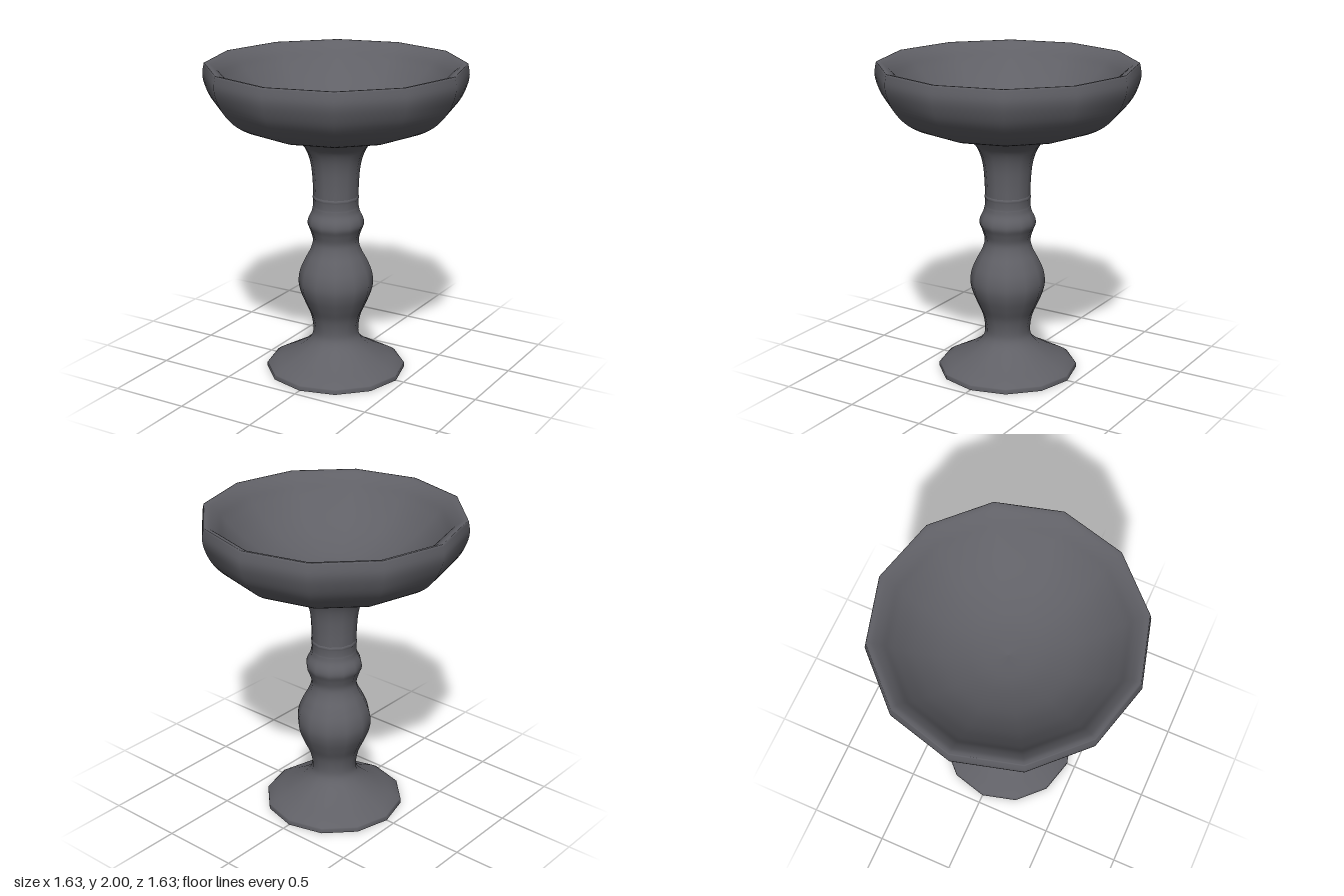
import * as THREE from 'three';

const SIDES = 12;
const material = new THREE.MeshStandardMaterial({ color: 0x606066, side: THREE.DoubleSide });

const toPoints = (pairs) => pairs.map(([r, y]) => new THREE.Vector2(r, y));

// Rounds a profile by running a spline through its points
function smooth(pairs, divisions) {
  const points = new THREE.SplineCurve(toPoints(pairs)).getPoints(divisions);
  points.forEach((p) => { p.x = Math.max(p.x, 0); });
  return points;
}

export function createModel() {
  const model = new THREE.Group();
  model.name = 'pedestalBowl';

  // Each part is a twelve-sided turning with smooth normals
  function turn(name, points) {
    const mesh = new THREE.Mesh(new THREE.LatheGeometry(points, SIDES), material);
    mesh.name = name;
    model.add(mesh);
  }

  turn('footUnderside', toPoints([[0, 0], [0.445, 0]]));

  // Thin foot edge, flared foot, bulb and small bead
  turn('footAndBaluster', [new THREE.Vector2(0.445, 0), ...smooth([
    [0.445, 0.025], [0.40, 0.055], [0.30, 0.105], [0.205, 0.165], [0.155, 0.22],
    [0.145, 0.28], [0.16, 0.365], [0.195, 0.445], [0.225, 0.52], [0.238, 0.59],
    [0.228, 0.665], [0.197, 0.74], [0.16, 0.81], [0.145, 0.87], [0.16, 0.93],
    [0.177, 0.975], [0.173, 1.015], [0.152, 1.06], [0.145, 1.09],
  ], 72)]);

  // Narrow collar with a slight ring
  turn('collar', toPoints([
    [0.145, 1.09], [0.142, 1.10], [0.142, 1.14], [0.146, 1.148], [0.146, 1.158], [0.142, 1.165],
  ]));

  // Upper stem flaring into the bowl, over the soft rim and down the round hollow
  const outside = smooth([
    [0.142, 1.165], [0.145, 1.26], [0.155, 1.36], [0.178, 1.44], [0.217, 1.50],
    [0.285, 1.545], [0.39, 1.575], [0.50, 1.60], [0.60, 1.637], [0.69, 1.695],
    [0.76, 1.775], [0.80, 1.86], [0.814, 1.93], [0.803, 2.0],
  ], 52);
  const hollow = smooth([
    [0.803, 2.0], [0.77, 1.993], [0.72, 1.955], [0.66, 1.888], [0.55, 1.788],
    [0.40, 1.694], [0.20, 1.623], [0, 1.60],
  ], 28);
  turn('stemAndBowl', [...outside, ...hollow.slice(1)]);

  return model;
}
